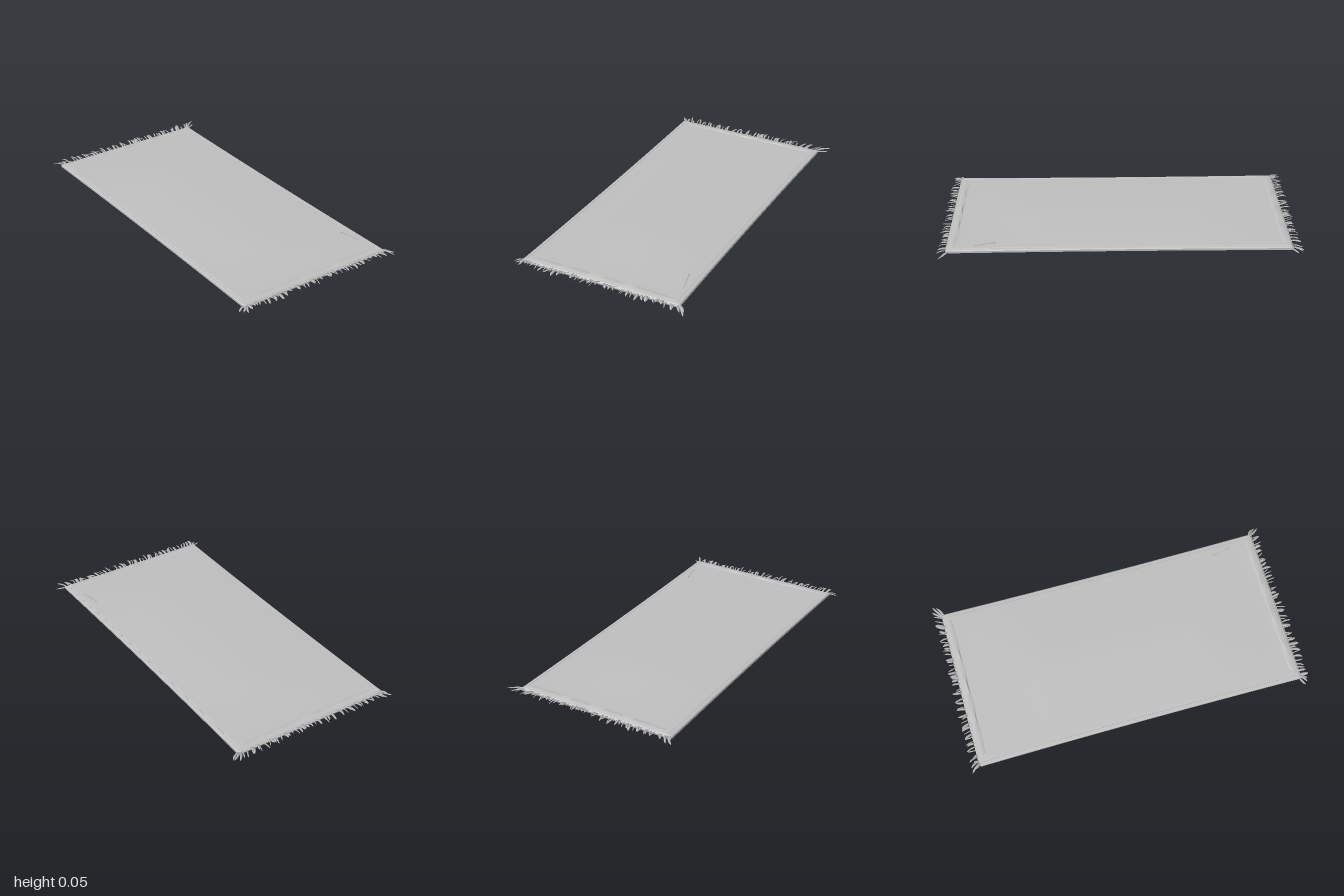
import * as THREE from 'three';
import { mergeGeometries, toCreasedNormals } from 'three/addons/utils/BufferGeometryUtils.js';

const wool = new THREE.MeshStandardMaterial({ color: 0xc0c0c0, side: THREE.DoubleSide });
wool.name = 'greyWool';

// small seeded generator for the irregular fringe
function seeded(seed) {
  return () => {
    seed = (seed * 16807) % 2147483647;
    return seed / 2147483647;
  };
}

// skin a list of equally long rows of [x, y, z] points
function loft(rows, closed = false) {
  const n = rows[0].length, index = [];
  for (let i = 0; i < rows.length - 1; i++) {
    for (let j = 0; j < (closed ? n : n - 1); j++) {
      const a = i * n + j, b = i * n + (j + 1) % n;
      index.push(a, a + n, b, b, a + n, b + n);
    }
  }
  const g = new THREE.BufferGeometry();
  g.setAttribute('position', new THREE.Float32BufferAttribute(rows.flat(2), 3));
  g.setIndex(index);
  g.computeVertexNormals();
  return g;
}

function part(name, geometry) {
  const mesh = new THREE.Mesh(geometry, wool);
  mesh.name = name;
  return mesh;
}

const clamp = THREE.MathUtils.clamp;
// top surface height: a very shallow dome, flat along the middle
function topY(x, z) {
  const across = Math.max(0, 1 - Math.pow(Math.abs(x) / 0.42, 1.4));
  const along = clamp((0.82 - Math.abs(z)) / 0.35, 0, 1);
  return 0.033 + 0.014 * across * along;
}

// closed cross-section of the rug at one z, sides bowing slightly inward
function section(z) {
  const bow = 0.008 * z * z, l = -0.469 - bow, r = 0.451 + bow;
  const edge = [[0.008, 0.012], [0, 0.016], [0, 0.027], [0.006, 0.032], [0.02, 0.033], [0.022, 0.031], [0.025, 0.033]];
  const pts = edge.map(([d, y]) => [l + d, y, z]);
  for (let i = 1; i < 20; i++) {
    const x = THREE.MathUtils.lerp(l + 0.025, r - 0.025, i / 20);
    pts.push([x, topY(x, z), z]);
  }
  edge.slice().reverse().forEach(([d, y]) => pts.push([r - d, y, z]));
  return pts;
}

function rugBody() {
  const flat = (z, k) => section(z).map(([x, y]) => [x, 0.022 + (y - 0.022) * k, z]);
  const rows = [flat(-0.935, 0), flat(-0.935, 0.6)];
  for (let i = 0; i <= 32; i++) rows.push(section(-0.93 + 1.86 * i / 32));
  rows.push(flat(0.935, 0.6), flat(0.935, 0));
  return toCreasedNormals(loft(rows, true), 0.5);
}

// folded end band with mitred corners and a loose, wavy inner lip
function hem(side) {
  const rows = [];
  for (let i = 0; i <= 48; i++) {
    const t = i / 48, inner = THREE.MathUtils.lerp(-0.41, 0.41, t), outer = THREE.MathUtils.lerp(-0.472, 0.456, t);
    const mid = (inner + outer) / 2;
    const wave = 0.5 + 0.5 * Math.cos(inner * 31 + (side > 0 ? 1.2 : 0));
    const lift = 0.005 * wave * Math.sin(Math.PI * t);
    rows.push([
      [inner, 0.032, side * (0.882 + 0.006 * wave)],
      [inner, 0.035 + lift, side * (0.89 + 0.006 * wave)],
      [mid, 0.035 + lift * 0.5, side * 0.915],
      [outer, 0.031, side * 0.932],
      [outer, 0.024, side * 0.941],
      [outer, 0.013, side * 0.936],
    ]);
  }
  return toCreasedNormals(loft(rows), 0.7);
}

// one flat curled strand from (x, z) to the tip
function strand(from, tip, width, curl, bend) {
  const a = new THREE.Vector3(...from), b = new THREE.Vector3(...tip);
  const dir = b.clone().sub(a).setY(0).normalize();
  const sideways = new THREE.Vector3(dir.z, 0, -dir.x);
  const mid = a.clone().lerp(b, 0.55).addScaledVector(sideways, bend);
  mid.y += curl;
  const curve = new THREE.QuadraticBezierCurve3(a, mid, b);
  const rows = [];
  for (let i = 0; i <= 6; i++) {
    const t = i / 6, p = curve.getPoint(t);
    const w = width * (0.6 + 0.4 * Math.sin(Math.PI * t)) * (t === 1 ? 0.35 : 1) / 2;
    const at = (s, h) => [p.x + sideways.x * s, p.y + h, p.z + sideways.z * s];
    rows.push([at(-w, 0), at(0, 0.002), at(w, 0), at(0, -0.002)]);
  }
  return loft(rows, true);
}

function fringe(side) {
  const rnd = seeded(side > 0 ? 4711 : 1977), strands = [];
  for (let i = 0; i < 44; i++) {
    const x = -0.45 + 0.89 * (i + 0.6 * rnd()) / 44;
    const reach = 0.965 + 0.026 * rnd(), sway = (rnd() - 0.5) * 0.035 + x * 0.03;
    strands.push(strand(
      [x, 0.026, side * 0.928],
      [x + sway, 0.022 + 0.016 * rnd(), side * reach],
      0.006 + 0.014 * rnd() * rnd() + (i % 5 === 0 ? 0.007 : 0),
      0.004 + 0.014 * rnd(),
      (rnd() - 0.5) * 0.024));
  }
  // splayed corner tassels
  const corners = side > 0
    ? [[-0.46, -0.515, 0.018, 0.95], [-0.46, -0.5, 0.02, 0.965], [-0.45, -0.478, 0.014, 0.975],
      [0.445, 0.497, 0.002, 0.975], [0.445, 0.482, 0.03, 0.985], [0.45, 0.49, 0.012, 0.955]]
    : [[-0.45, -0.502, 0.022, -0.985], [-0.45, -0.485, 0.03, -0.965], [-0.44, -0.47, 0.02, -0.985],
      [0.44, 0.513, 0.038, -0.98], [0.445, 0.508, 0.024, -0.96], [0.44, 0.485, 0.03, -0.99]];
  corners.forEach(([x, tx, ty, tz], i) =>
    strands.push(strand([x, 0.026, side * 0.925], [tx, ty, tz], 0.013, 0.008, i % 2 ? 0.008 : -0.008)));
  return mergeGeometries(strands);
}

export function createModel() {
  const rug = new THREE.Group();
  rug.name = 'fringedRug';
  rug.add(part('rugBody', rugBody()));
  for (const [end, side] of [['front', 1], ['back', -1]]) {
    rug.add(part(end + 'Hem', hem(side)));
    rug.add(part(end + 'Fringe', fringe(side)));
  }

  // loose thread lying near the front left corner
  const path = [[0.41, 0.033, 0.8], [0.398, 0.037, 0.75], [0.386, 0.039, 0.7], [0.378, 0.038, 0.67], [0.388, 0.036, 0.685]];
  const curve = new THREE.CatmullRomCurve3(path.map((p) => new THREE.Vector3(...p)));
  rug.add(part('looseThread', new THREE.TubeGeometry(curve, 20, 0.002, 5)));
  return rug;
}
